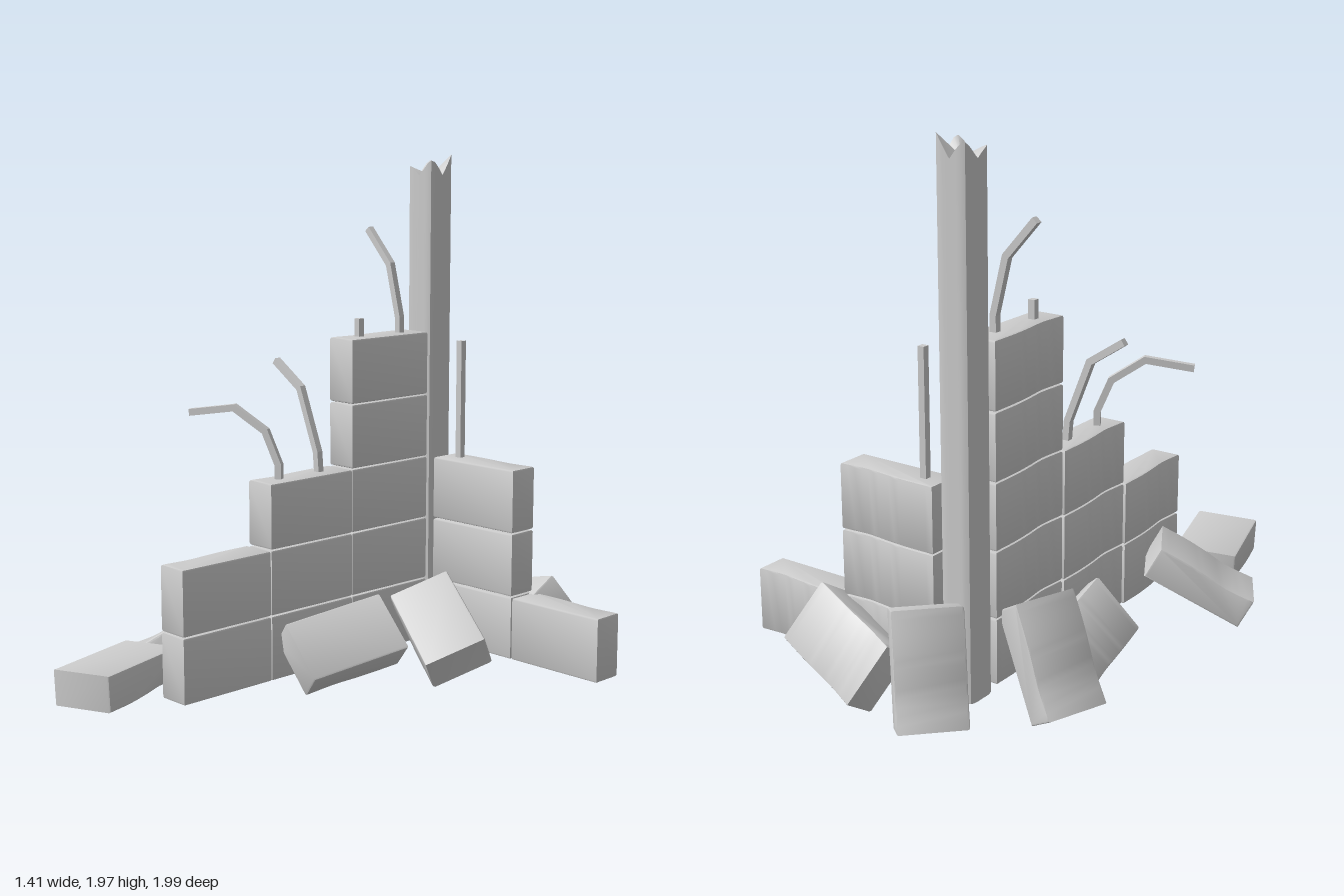
import * as THREE from 'three';
import { toCreasedNormals } from 'three/addons/utils/BufferGeometryUtils.js';

const V = (a) => new THREE.Vector3(...a);
const material = new THREE.MeshStandardMaterial({ color: 0xcccccc });
const LENGTH = 0.4, HEIGHT = 0.24, THICK = 0.128, BEVEL = 0.008;

// Masonry block: length on x, thickness on y (worn face at +y), height on z
function makeBlockGeometry() {
  const l = LENGTH / 2 - BEVEL, t = THICK / 2 - BEVEL;
  const s = new THREE.Shape();
  s.moveTo(-l, -t);
  s.lineTo(l, -t);
  s.lineTo(l, t);
  s.splineThru([[0.09, t], [0, t - 0.006], [-0.09, t - 0.015], [-l, t - 0.008]]
    .map(([x, y]) => new THREE.Vector2(x, y)));
  s.closePath();
  const depth = HEIGHT - 2 * BEVEL;
  const g = new THREE.ExtrudeGeometry(s, {
    depth, bevelSize: BEVEL, bevelThickness: BEVEL, bevelSegments: 2, curveSegments: 3,
  });
  g.translate(0, 0, -depth / 2);
  return toCreasedNormals(g, 0.7);
}

// Square bar bent through [distance, height] points, turned about y by angle
function makeBar(points, [x, z], angle) {
  const r = 0.0125, p = points.map(([a, b]) => new THREE.Vector2(a, b));
  const left = [], right = [];
  p.forEach((q, i) => {
    const d0 = q.clone().sub(p[Math.max(i - 1, 0)]).normalize();
    const d1 = p[Math.min(i + 1, p.length - 1)].clone().sub(q).normalize();
    const d = d0.clone().add(d1).normalize();
    const k = r / Math.max(d.dot(d1), d.dot(d0));
    left.push(new THREE.Vector2(q.x - d.y * k, q.y + d.x * k));
    right.unshift(new THREE.Vector2(q.x + d.y * k, q.y - d.x * k));
  });
  const g = new THREE.ExtrudeGeometry(new THREE.Shape([...left, ...right]),
    { depth: 2 * r, bevelEnabled: false });
  g.translate(0, 0, -r);
  const bar = new THREE.Mesh(g, material);
  bar.position.set(x, 0, z);
  bar.rotation.y = angle;
  bar.name = 'reinforcingBar';
  return bar;
}

// Square post with rounded corners and a broken top
function makePost() {
  const g = new THREE.CylinderGeometry(1, 1, 1, 32, 1, true);
  const top = new THREE.CircleGeometry(1, 32).rotateX(-Math.PI / 2).translate(0, 0.5, 0);
  const bottom = new THREE.CircleGeometry(1, 32).rotateX(Math.PI / 2).translate(0, -0.5, 0);
  const group = new THREE.Group();
  group.name = 'post';
  const names = ['postSides', 'postBrokenTop', 'postBase'];
  [g, top, bottom].forEach((geo, i) => {
    const pos = geo.attributes.position;
    for (let k = 0; k < pos.count; k++) {
      const x = pos.getX(k), z = pos.getZ(k);
      const n = Math.pow(x ** 6 + z ** 6, 1 / 6) || 1;
      const r = Math.hypot(x, z);
      const sx = x / n * r, sz = z / n * r;
      // peaks at the four corners, valleys between them
      const peak = Math.min(Math.abs(sx * sz) / 0.79, 1);
      const rise = 0.055 + (sx - sz) * 0.012;
      const y = pos.getY(k) > 0 ? 1.925 + peak * rise : 0.1;
      pos.setXYZ(k, sx * 0.0625, y, sz * 0.0625);
    }
    const mesh = new THREE.Mesh(toCreasedNormals(geo, 0.7), material);
    mesh.name = names[i];
    group.add(mesh);
  });
  group.position.set(-0.197, 0, -0.633);
  return group;
}

export function createModel() {
  const model = new THREE.Group();
  model.name = 'ruinedWallCorner';
  const blockGeometry = makeBlockGeometry();

  // Places a block by centre, long axis and worn-face normal
  function addBlock(parent, name, centre, along, normal) {
    const x = V(along).normalize();
    const z = x.clone().cross(V(normal)).normalize();
    const y = z.clone().cross(x);
    const m = new THREE.Mesh(blockGeometry, material);
    m.quaternion.setFromRotationMatrix(new THREE.Matrix4().makeBasis(x, y, z));
    m.position.set(...centre);
    m.name = name;
    parent.add(m);
  }

  // Stepped walls, stacked in columns
  const sideWall = new THREE.Group(), backWall = new THREE.Group();
  sideWall.name = 'sideWall';
  backWall.name = 'backWall';
  const rowY = (row) => 0.243 + row * 0.2425;
  [[0.445, 2], [0.04, 3], [-0.363, 5]].forEach(([z, rows]) => {
    for (let i = 0; i < rows; i++)
      addBlock(sideWall, 'sideWallBlock', [-0.205, rowY(i), z], [0, 0, -1], [-1, 0, 0]);
  });
  [[0.087, 3], [0.493, 1]].forEach(([x, rows]) => {
    for (let i = 0; i < rows; i++)
      addBlock(backWall, 'backWallBlock', [x, rowY(i), -0.64], [-1, 0, 0], [0, 0, -1]);
  });
  model.add(sideWall, backWall, makePost());

  // Fallen blocks: centre, long axis, worn-face normal
  const rubble = new THREE.Group();
  rubble.name = 'rubble';
  [
    [[-0.2, 0.28, -0.845], [0.23, 0.95, 0.23], [-1, 0.4, -1]],
    [[0.18, 0.245, -0.82], [0.93, 0.25, 0.27], [0, 0.5, -0.85]],
    [[0.09, 0.24, -0.4], [0.33, -0.17, 0.15], [-0.17, -0.79, -0.52]],
    [[-0.015, 0.24, 0.01], [0.09, 0.06, -0.4], [-0.7, -0.7, 0]],
    [[-0.43, 0.235, -0.465], [0.47, 0.87, 0.17], [-0.8, 0.5, -0.3]],
    [[-0.37, 0.18, -0.17], [0.08, 0.03, 0.4], [-0.75, 0.65, 0]],
    [[-0.485, 0.225, 0.435], [0.32, 0.2, -0.18], [-0.35, 0.9, 0.2]],
    [[-0.375, 0.205, 0.755], [0.11, 0, 0.38], [0.05, -1, 0]],
  ].forEach(([c, along, normal]) => addBlock(rubble, 'fallenBlock', c, along, normal));
  model.add(rubble);

  // Exposed bars; bent ones lean out towards -x
  const bars = new THREE.Group();
  bars.name = 'reinforcingBars';
  bars.add(
    makeBar([[0, 0.8], [0, 1.3]], [-0.04, -0.645], 0),
    makeBar([[0, 1.28], [0, 1.4]], [-0.205, -0.26], 0),
    makeBar([[0, 1.28], [0, 1.39], [0.05, 1.59], [0.165, 1.72]], [-0.2, -0.47], Math.PI),
    makeBar([[0, 0.8], [0.01, 0.92], [0.1, 1.15], [0.235, 1.24]], [-0.2, -0.05], Math.PI),
    makeBar([[0, 0.8], [0, 0.9], [0.05, 1.02], [0.17, 1.1], [0.345, 1.075]],
      [-0.2, 0.15], Math.PI + 0.48),
  );
  model.add(bars);
  return model;
}
